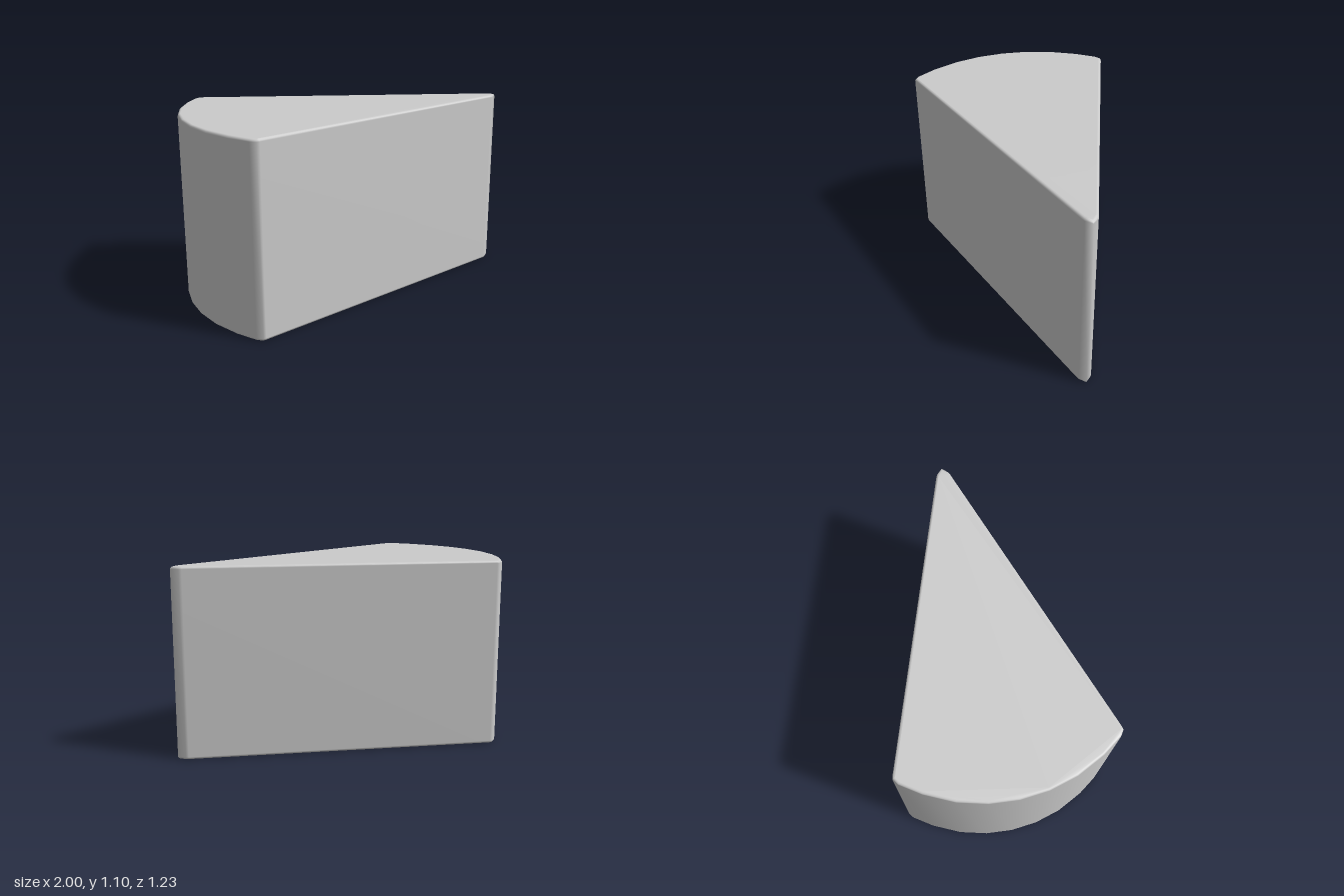
import * as THREE from 'three';
import { mergeVertices } from 'three/addons/utils/BufferGeometryUtils.js';

const HEIGHT = 1.1;
const BEVEL = 0.015;

// Plan of the wedge: blunt tip at +x, straight flanks, rounded end at -x
function wedgeOutline() {
  const half = [[0.965, 0.035], [0.95, 0.042], [-0.74, 0.612], [-0.757, 0.615], [-0.79, 0.592]];
  // curved end, from the flank corner towards the middle
  const radius = 0.93;
  for (const z of [0.48, 0.32, 0.16]) {
    half.push([-1 + radius - Math.sqrt(radius * radius - z * z), z]);
  }
  const mirrored = half.map(([x, z]) => [x, -z]).reverse();
  return [[1, 0], ...half, [-1, 0], ...mirrored].map(([x, z]) => new THREE.Vector2(x, z));
}

export function createModel() {
  const group = new THREE.Group();
  group.name = 'wedgeBlock';

  // Extruded upwards with a small rounded edge at top and bottom
  let geometry = new THREE.ExtrudeGeometry(new THREE.Shape(wedgeOutline()), {
    depth: HEIGHT - 2 * BEVEL,
    bevelThickness: BEVEL,
    bevelSize: BEVEL,
    bevelOffset: -BEVEL,
    bevelSegments: 3,
  });
  geometry.rotateX(-Math.PI / 2);
  geometry.translate(0, BEVEL, 0);

  // Shared vertices give soft, area-weighted normals over the narrow edges
  geometry.deleteAttribute('uv');
  geometry.deleteAttribute('normal');
  geometry = mergeVertices(geometry, 1e-4);
  geometry.computeVertexNormals();

  const wedge = new THREE.Mesh(geometry, new THREE.MeshStandardMaterial({ color: 0xcccccc }));
  wedge.name = 'wedge';
  group.add(wedge);
  return group;
}
